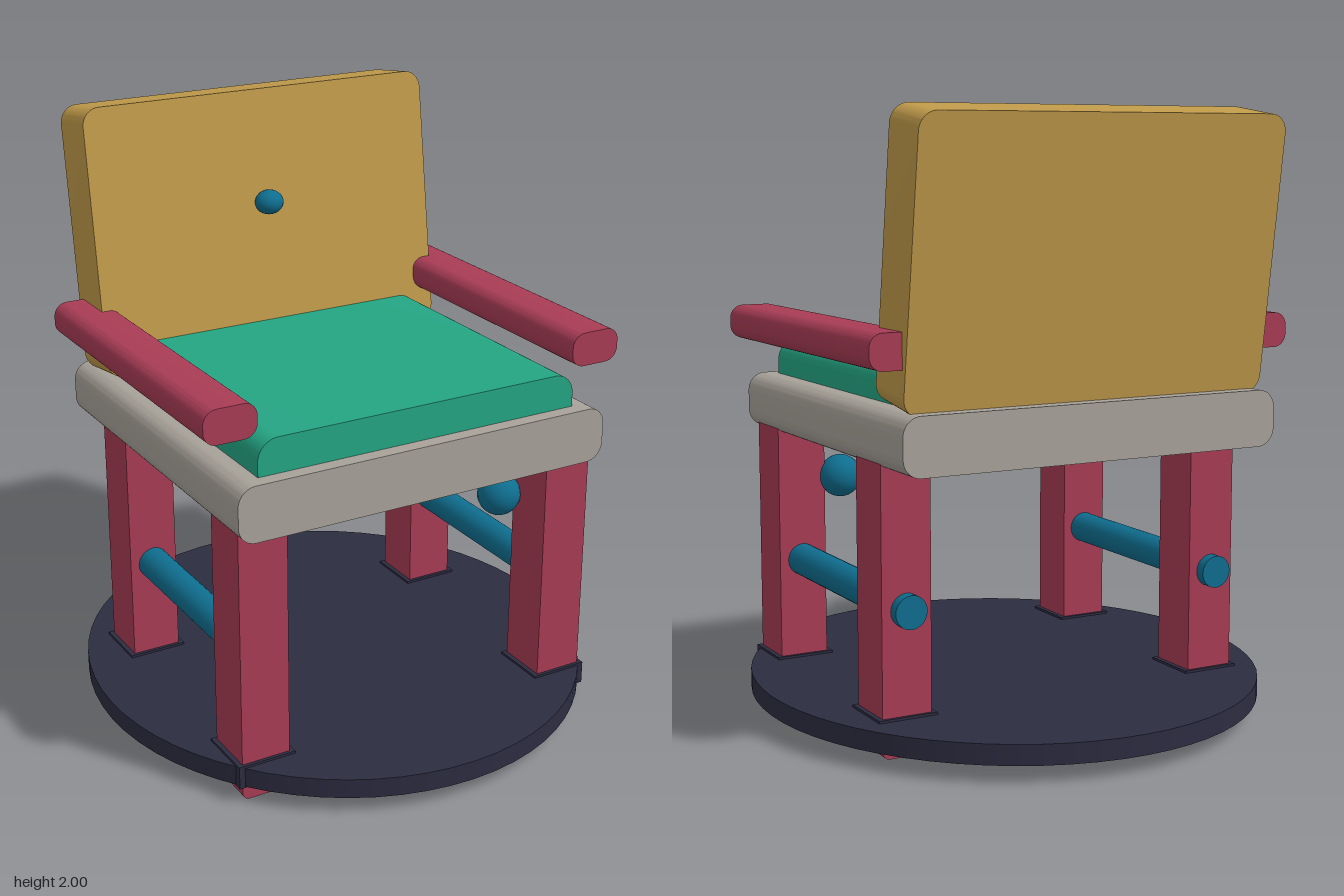
import * as THREE from 'three';
import { toCreasedNormals } from 'three/addons/utils/BufferGeometryUtils.js';

const material = (name, color) => {
  const m = new THREE.MeshStandardMaterial({ color });
  m.name = name;
  return m;
};

// Rounded rectangle in xy, extruded and centred along z; separate top and bottom corner radii
function roundedSlab(w, h, d, top, bottom = top) {
  const x = w / 2, y = h / 2;
  const s = new THREE.Shape();
  s.moveTo(-x + bottom, -y);
  s.lineTo(x - bottom, -y);
  if (bottom) s.absarc(x - bottom, -y + bottom, bottom, -Math.PI / 2, 0);
  s.lineTo(x, y - top);
  s.absarc(x - top, y - top, top, 0, Math.PI / 2);
  s.lineTo(-x + top, y);
  s.absarc(-x + top, y - top, top, Math.PI / 2, Math.PI);
  s.lineTo(-x, -y + bottom);
  if (bottom) s.absarc(-x + bottom, -y + bottom, bottom, Math.PI, Math.PI * 1.5);
  const g = new THREE.ExtrudeGeometry(s, { depth: d, bevelEnabled: false, curveSegments: 6 });
  g.translate(0, 0, -d / 2);
  return toCreasedNormals(g, 0.6);
}

export function createModel() {
  const chair = new THREE.Group();
  chair.name = 'armchair';
  const ochre = material('ochre', 0xc09a4a);
  const crimson = material('crimson', 0xa83c55);
  const green = material('green', 0x24a583);
  const grey = material('warmGrey', 0xa8a299);
  const teal = material('teal', 0x0f6e8f);
  const navy = material('navy', 0x2d2c41);

  const add = (name, geometry, mat, x, y, z) => {
    const mesh = new THREE.Mesh(geometry, mat);
    mesh.name = name;
    mesh.position.set(x, y, z);
    chair.add(mesh);
    return mesh;
  };

  // Oval base plate
  add('basePlate', new THREE.CylinderGeometry(1, 1, 0.066, 64), navy, 0, 0.093, 0).scale.set(0.845, 1, 0.905);

  // Seat and cushion
  add('seat', roundedSlab(1.335, 0.185, 1.23, 0.06), grey, 0, 1.003, 0);
  add('cushion', roundedSlab(1.15, 0.125, 1.08, 0.07, 0), green, 0, 1.15, 0.025);

  // Leaning backrest with a button
  add('backrest', roundedSlab(1.285, 0.9, 0.193, 0.06), ochre, 0, 1.541, -0.529).rotation.x = -0.137;
  add('button', new THREE.SphereGeometry(1, 24, 16), teal, 0, 1.622, -0.424).scale.set(0.05, 0.042, 0.046);

  for (const side of [-1, 1]) {
    add('armrest', roundedSlab(0.178, 0.113, 1.125, 0.045), crimson, side * 0.66, 1.282, 0);

    // Legs pass through the base plate, each with a thin collar
    for (const z of [0.483, -0.33]) {
      add('leg', new THREE.BoxGeometry(0.168, 0.88, 0.178), crimson, side * 0.565, 0.49, z);
      add('foot', roundedSlab(0.168, 0.06, 0.178, 0.01, 0.025), crimson, side * 0.565, 0.034, z);
      add('legCollar', new THREE.BoxGeometry(0.2, 0.078, 0.2), navy, side * 0.565, 0.095, z);
    }

    // Stretcher rod pokes out behind the back leg
    add('stretcher', new THREE.CylinderGeometry(0.054, 0.054, 0.9, 24), teal,
      side * 0.565, 0.468, -0.005).rotation.x = Math.PI / 2;
  }

  // Knob inside one front leg
  add('knob', new THREE.SphereGeometry(0.073, 24, 16), teal, 0.425, 0.75, 0.388);

  return chair;
}
